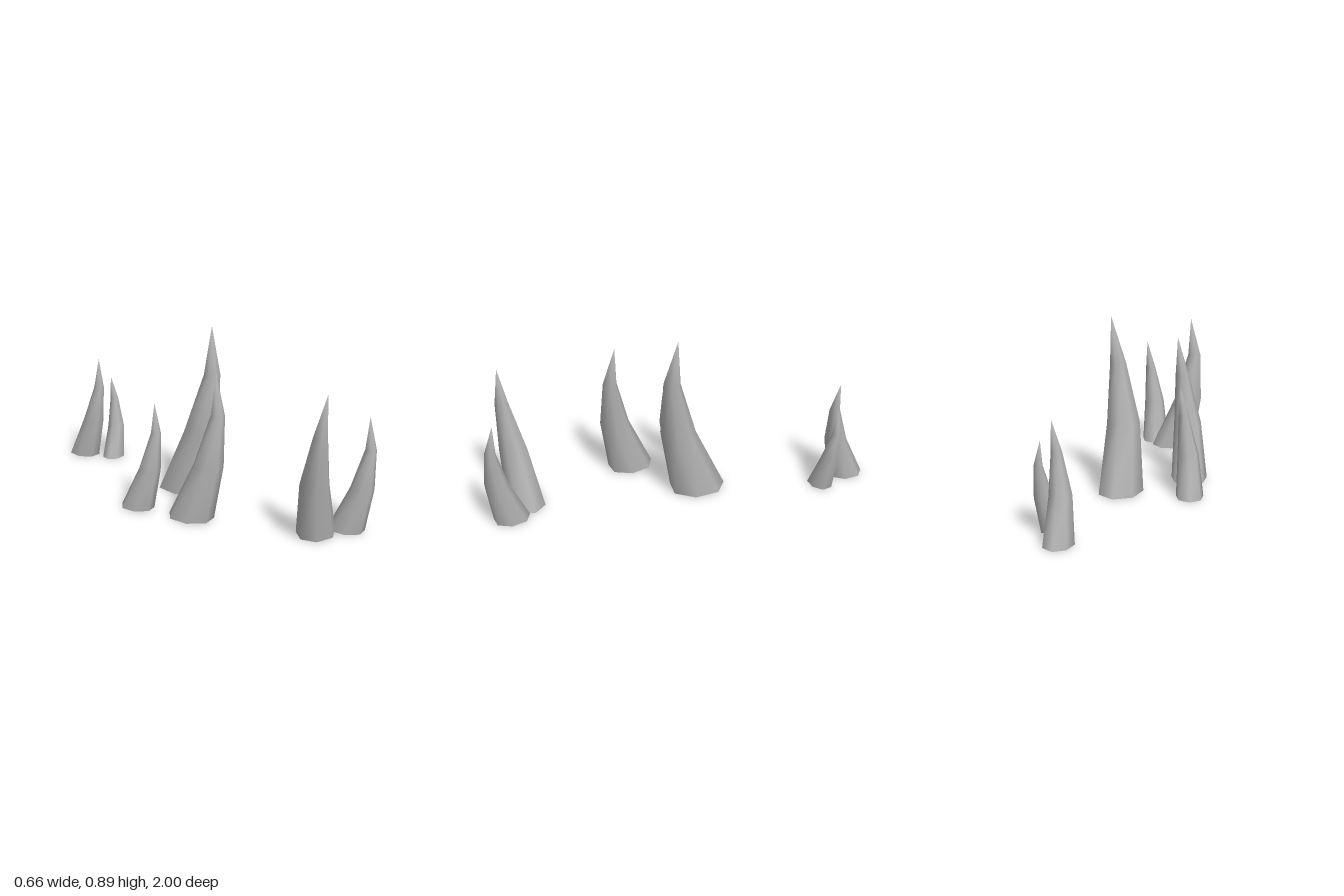
import * as THREE from 'three';

const SIDES = 7;

// Cross-sections of one curved spike: centre x, y, z and radii across x and z
const RINGS = [
  [0, 0, 0.007, 0.116, 0.147],
  [0.017, 0.34, 0.114, 0.088, 0.094],
  [0.055, 0.645, 0.155, 0.043, 0.044],
];
const TIP = [0.082, 0.892, 0.13];

// Open-bottomed horn: rings joined by quads and closed by a point
function hornGeometry() {
  const pos = [], index = [];
  for (const [cx, y, cz, rx, rz] of RINGS) {
    for (let i = 0; i < SIDES; i++) {
      const a = (i / SIDES) * Math.PI * 2;
      pos.push(cx - Math.sin(a) * rx, y, cz - Math.cos(a) * rz);
    }
  }
  const tip = pos.length / 3;
  pos.push(...TIP);
  for (let r = 0; r < RINGS.length; r++) {
    for (let i = 0; i < SIDES; i++) {
      const j = (i + 1) % SIDES;
      const a = r * SIDES + i, b = r * SIDES + j;
      if (r === RINGS.length - 1) index.push(a, b, tip);
      else index.push(a, b, b + SIDES, a, b + SIDES, a + SIDES);
    }
  }
  const geo = new THREE.BufferGeometry();
  geo.setAttribute('position', new THREE.Float32BufferAttribute(pos, 3));
  geo.setIndex(index);
  geo.computeVertexNormals();
  return geo;
}

// Base position x, z, scale and turn in degrees of each spike
const SPIKES = [
  ['tallSpike', 0.108, -0.11, 1, 0],
  ['leftMiddleSpike', -0.188, 0.187, 0.836, 11],
  ['leftBackSpike', -0.26, -0.108, 0.62, 13],
  ['frontSpike', 0.052, 0.79, 0.826, -74],
  ['frontSmallSpike', 0.178, 0.876, 0.646, 11],
  ['backSpike', 0.168, -0.911, 0.635, 0],
  ['backSmallSpike', 0.235, -0.74, 0.51, 107],
];

export function createModel() {
  const group = new THREE.Group();
  group.name = 'spikes';
  const stone = new THREE.MeshStandardMaterial({ color: 0xb0b0b0, side: THREE.DoubleSide });
  stone.name = 'grey stone';
  const geo = hornGeometry();
  for (const [name, x, z, size, turn] of SPIKES) {
    const spike = new THREE.Mesh(geo, stone);
    spike.name = name;
    spike.position.set(x, 0, z);
    spike.scale.setScalar(size);
    spike.rotation.y = THREE.MathUtils.degToRad(turn);
    group.add(spike);
  }
  return group;
}
